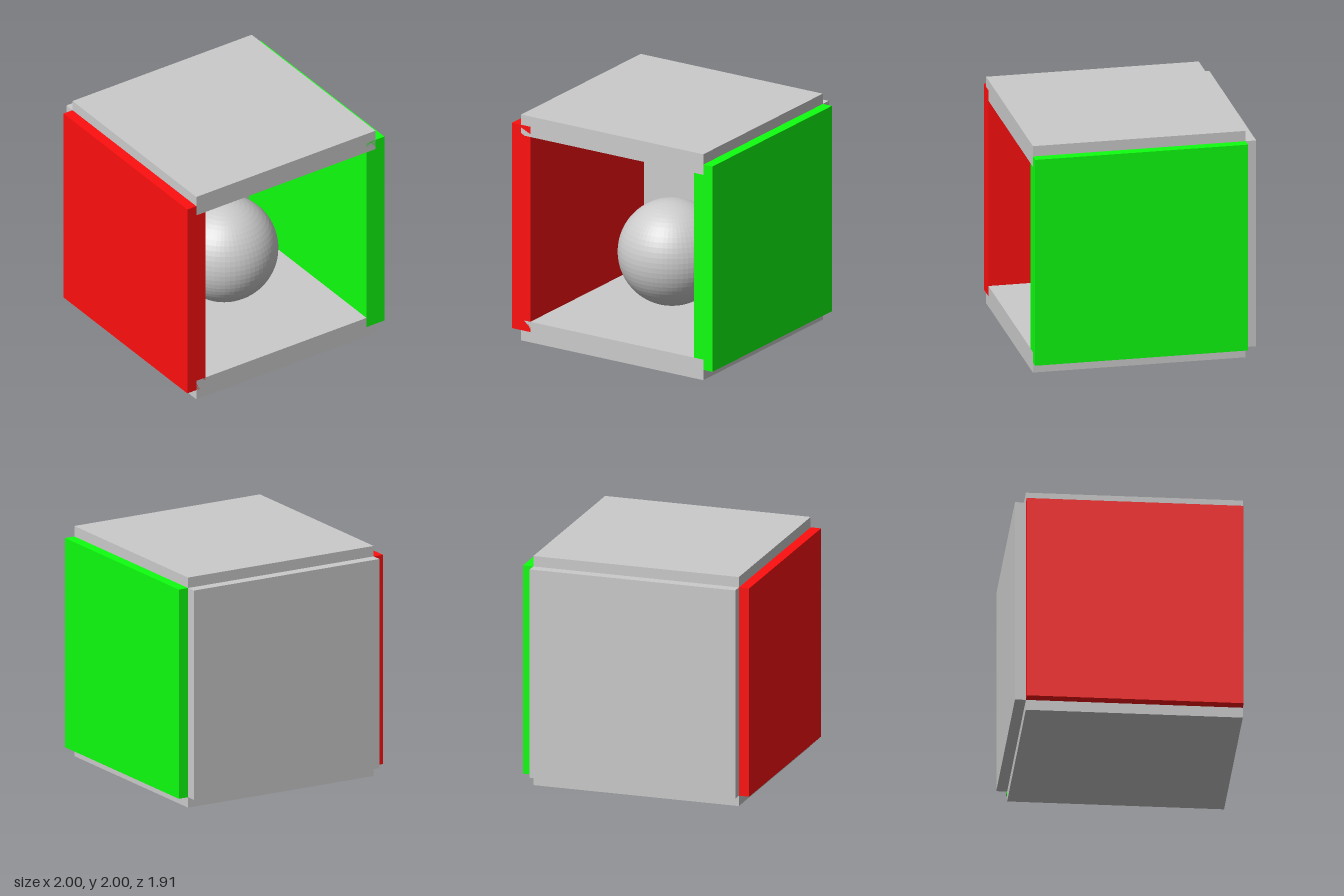
import * as THREE from 'three';

const U = 1 / 11;            // base unit: the box is 22 units wide
const SIDE = 20 * U;         // slab edge length
const THICK = 2 * U;         // slab thickness
const MID_Z = 0.5 * U;       // slabs sit half a unit forward

const material = (color, flatShading = false) =>
  new THREE.MeshStandardMaterial({ color, flatShading });

export function createModel() {
  const group = new THREE.Group();
  const grey = material(0xcccccc);

  const add = (name, geometry, mat, x, y, z) => {
    const mesh = new THREE.Mesh(geometry, mat);
    mesh.name = name;
    mesh.position.set(x, y, z);
    group.add(mesh);
  };

  // Floor and ceiling slabs
  const horizontal = new THREE.BoxGeometry(SIDE, THICK, SIDE);
  add('floor', horizontal, grey, 0, U, MID_Z);
  add('ceiling', horizontal, grey, 0, 21 * U, MID_Z);

  // Coloured side walls
  const side = new THREE.BoxGeometry(THICK, SIDE, SIDE);
  add('rightWall', side, material(0xff0f0f), -10 * U, 11 * U, MID_Z);
  add('leftWall', side, material(0x0fff0f), 10 * U, 11 * U, MID_Z);

  // Back wall
  add('backWall', new THREE.BoxGeometry(SIDE, SIDE, THICK), grey, 0, 11 * U, -9.5 * U);

  // Ball floating above the floor
  add('ball', new THREE.SphereGeometry(5 * U, 64, 32), material(0xcccccc, true), 0, 0.695, MID_Z);

  // Light panel set into the ceiling
  add('ceilingLight', new THREE.BoxGeometry(0.3, 0.05, 0.3), grey, 0, 1.82, MID_Z);

  return group;
}
